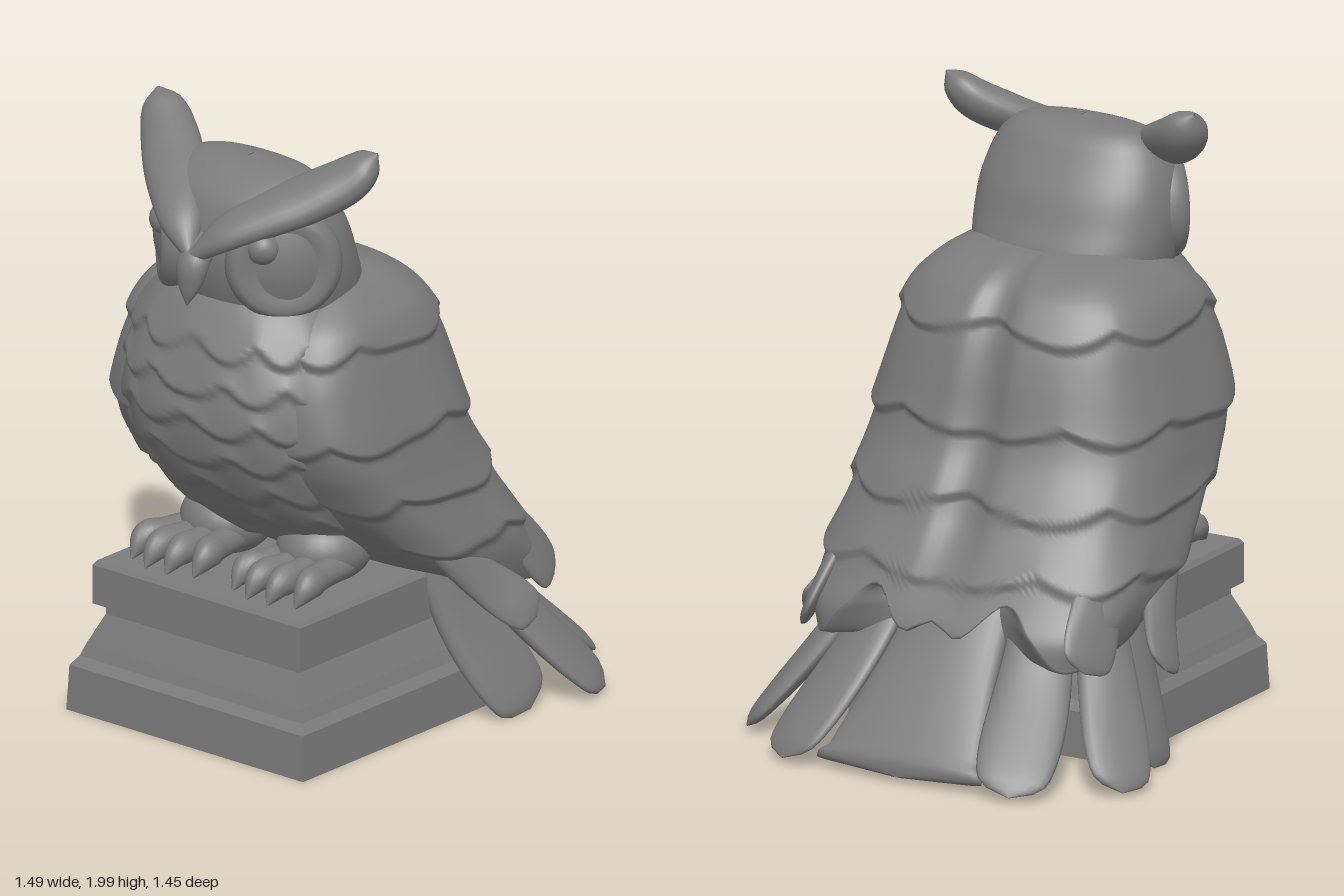
import * as THREE from 'three';
import { ParametricGeometry } from 'three/addons/geometries/ParametricGeometry.js';
import { mergeVertices } from 'three/addons/utils/BufferGeometryUtils.js';

const stone = 0x7b7b7b;
const mat = new THREE.MeshStandardMaterial({ color: stone, side: THREE.DoubleSide });
const flatMat = new THREE.MeshStandardMaterial({ color: stone, flatShading: true });
const V = (x, y, z) => new THREE.Vector3(x, y, z);

// Smooth lookup in a table of rows [key, a, b, ...], keys ascending
function look(table, k) {
  const n = table.length;
  k = Math.min(Math.max(k, table[0][0]), table[n - 1][0]);
  let i = 0;
  while (i < n - 2 && k > table[i + 1][0]) i++;
  const row = (j) => table[Math.min(Math.max(j, 0), n - 1)];
  const p = row(i), q = row(i + 1), o = row(i - 1), r = row(i + 2);
  const h = q[0] - p[0], t = (k - p[0]) / h;
  return p.slice(1).map((a, c) => {
    const b = q[c + 1];
    const ma = (b - o[c + 1]) / (q[0] - o[0]) * h, mb = (r[c + 1] - a) / (r[0] - p[0]) * h;
    const t2 = t * t, t3 = t2 * t;
    return a * (2 * t3 - 3 * t2 + 1) + b * (3 * t2 - 2 * t3) + ma * (t3 - 2 * t2 + t) + mb * (t3 - t2);
  });
}

// Smooth surface from a rule over u, v
function surface(fn, nu, nv) {
  const g = new ParametricGeometry(fn, nu, nv);
  g.deleteAttribute('normal');
  g.deleteAttribute('uv');
  const m = mergeVertices(g, 1e-4);
  m.computeVertexNormals();
  return m;
}

// Elliptic sweep along points; sizes rows are [t, halfWidth, halfThickness]
function sweep(points, sizes, up, nu = 20, nv = 32) {
  const curve = new THREE.CatmullRomCurve3(points);
  return surface((u, v, out) => {
    const T = curve.getTangent(v), S = T.clone().cross(up).normalize(), N = S.clone().cross(T);
    const [w, h] = look(sizes, v), a = -2 * Math.PI * u;
    out.copy(curve.getPoint(v)).addScaledVector(S, w * Math.cos(a)).addScaledVector(N, h * Math.sin(a));
  }, nu, nv);
}

// Superellipse section from front x, back x and half width
function section(out, a, y, [xf, xb, rz], p, d, shrink = 1) {
  const cx = (xf + xb) / 2, rx = (xb - xf) / 2, c = Math.cos(a), s = Math.sin(a);
  const bend = (f) => Math.sign(f) * Math.abs(f) ** p;
  out.set(cx + shrink * (rx * bend(c) + d * c), y, shrink * (rz * bend(s) + d * s));
}

// Overlapping scalloped feather rows: height grows to each lower edge, then falls away softly
function scales(a, y, top, edges, count, depth, height) {
  for (let i = 0; i < edges.length; i++) {
    const e = edges[i] - depth * Math.abs(Math.sin(count * a + i * Math.PI / 2));
    if (y > e) {
      const t = Math.min(Math.max((top - y) / (top - e), 0), 1);
      const fall = i ? 1 - (top - y) / .03 : 0;
      return height * Math.max(t ** 1.5, fall);
    }
    top = e;
  }
  return 0;
}

export function createModel() {
  const owl = new THREE.Group();
  const add = (name, geo, m = mat) => {
    const mesh = new THREE.Mesh(geo, m);
    mesh.name = name;
    owl.add(mesh);
    return mesh;
  };

  // Square moulded plinth
  const mould = [[0, 0], [.49, 0], [.483, .15], [.46, .18], [.445, .22], [.40, .32], [.40, .345], [.43, .355], [.43, .485], [.42, .5], [0, .5]];
  const base = new THREE.LatheGeometry(mould.map(([r, y]) => new THREE.Vector2(r * Math.SQRT2, y)), 4);
  base.rotateY(Math.PI / 4);
  base.scale(.96, 1, 1);
  base.translate(-.265, 0, 0);
  add('plinth', base, flatMat);

  // Breast and belly
  const bodyRows = [[.5, -.15, .2, .22], [.6, -.35, .2, .33], [.7, -.48, .2, .38], [.8, -.58, .2, .41], [.95, -.68, .15, .43],
    [1.1, -.725, .1, .44], [1.25, -.715, .05, .42], [1.4, -.665, 0, .37], [1.5, -.6, -.05, .3], [1.56, -.5, -.2, .25]];
  const breastEdges = Array.from({ length: 7 }, (_, i) => 1.38 - i * .125);
  add('body', surface((u, v, out) => {
    const a = 2 * Math.PI * u, y = 1.56 - 1.06 * v;
    section(out, a, y, look(bodyRows, y), .8, scales(a - Math.PI, y, 1.5, breastEdges, 6, .06, .02));
  }, 110, 120));

  // Folded wings, broad in front and meeting at a groove down the back
  const wingRows = [[.34, .1, .52, .48], [.45, -.02, .515, .53], [.55, -.19, .455, .555], [.65, -.31, .4, .55], [.75, -.42, .345, .54], [.85, -.51, .3, .53],
    [.95, -.585, .25, .525], [1.05, -.625, .22, .515], [1.2, -.63, .19, .485], [1.3, -.605, .16, .46], [1.4, -.555, .11, .425],
    [1.46, -.49, .06, .375], [1.51, -.4, -.03, .31], [1.54, -.3, -.15, .22]];
  const wingHem = [[0, .47], [.1, .43], [.3, .54], [.55, .46], [.9, .36], [1.3, .36], [1.8, .41], [2.4, .45], [3.15, .46]];
  add('wings', surface((u, v, out) => {
    const a = 2 * Math.PI * u, side = Math.min(a, 2 * Math.PI - a), hem = look(wingHem, side)[0];
    const k = Math.max(0, (v - .95) / .05), y = 1.54 - (1.54 - hem) * Math.min(1, v / .95);
    const groove = -.045 * Math.exp(-((side / .06) ** 2)) * Math.min(1, Math.max(0, (y - .5) / .25));
    const d = scales(side, y, 1.6, [1.37, 1.07, .84, .64, .3], 3.4, .05, .022) + groove;
    section(out, a, y + .04 * k, look(wingRows, y), side < Math.PI / 2 ? .72 : .5, d, 1 - k);
  }, 160, 150));

  // Head
  const headRows = [[1.38, -.58, -.1, .31], [1.5, -.63, -.105, .335], [1.6, -.65, -.145, .345], [1.7, -.64, -.185, .335],
    [1.8, -.6, -.245, .3], [1.86, -.54, -.29, .25], [1.89, -.48, -.34, .17], [1.9, -.43, -.4, .002]];
  add('head', surface((u, v, out) => {
    const y = 1.38 + .52 * Math.sin((1 - v) * Math.PI / 2);
    section(out, 2 * Math.PI * u, y, look(headRows, y), .88, 0);
  }, 48, 40));

  // Hooked beak
  add('beak', sweep([V(-.62, 1.67, 0), V(-.69, 1.62, 0), V(-.71, 1.55, 0), V(-.725, 1.48, 0)],
    [[0, .04, .04], [.4, .055, .045], [.75, .035, .028], [1, .002, .002]], V(-1, 0, 0)));

  // Central tail feather with a square end
  add('tailCentre', sweep([V(.18, .66, 0), V(.38, .4, 0), V(.56, .2, 0), V(.725, .02, 0)],
    [[0, .16, .06], [.4, .2, .06], [.9, .275, .045], [.98, .28, .03], [1, .01, .005]], V(.8, .6, 0), 28));

  const blade = (w, h) => [[0, w * .55, h], [.35, w * .8, h], [.7, w, h * .8], [.88, w * .95, h * .6], [.96, w * .7, h * .4], [1, .002, .002]];
  for (const s of [1, -1]) {
    const side = s > 0 ? 'left' : 'right';
    const P = (x, y, z) => V(x, y, s * z);

    // Facial disc with a soft rim, and eye
    const n = P(-.7, 0, .71).normalize();
    const dish = [[.14, -.14], [.18, -.04], [.185, .02], [.165, .055], [.135, .062], [.08, .052], [0, .05]];
    const disc = add(side + 'FaceDisc', new THREE.LatheGeometry(
      new THREE.SplineCurve(dish.map((p) => new THREE.Vector2(...p))).getPoints(24), 40));
    disc.position.copy(P(-.515, 1.62, .22));
    disc.quaternion.setFromUnitVectors(V(0, 1, 0), n);
    const eye = add(side + 'Eye', new THREE.SphereGeometry(.055, 24, 16));
    eye.position.copy(P(-.59, 1.685, .2));

    // Brow rising into an ear tuft
    add(side + 'EarTuft', sweep([P(-.7, 1.64, .01), P(-.645, 1.72, .09), P(-.55, 1.785, .19), P(-.455, 1.84, .29), P(-.375, 1.905, .385), P(-.335, 1.99, .455)],
      [[0, .02, .025], [.2, .07, .045], [.5, .1, .06], [.75, .09, .065], [.92, .06, .045], [1, .003, .003]], P(-.35, .9, .1), 24, 36));

    // Long wing and tail feathers
    const feathers = [
      ['WingTipFront', [-.16, .68, .47], [.05, .47, .56], [.19, .335, .665], .085, .035, [-.2, .5, .8]],
      ['WingTipRear', [.14, .76, .42], [.3, .55, .48], [.44, .365, .52], .1, .035, [.35, .3, .85]],
      ['TailOuter', [-.02, .6, .38], [.07, .32, .47], [.2, .01, .63], .13, .05, [-.1, .3, .9]],
      ['TailSide', [.08, .6, .34], [.27, .31, .5], [.49, .015, .69], .115, .05, [.4, .5, .75]],
      ['TailRear', [.18, .62, .22], [.41, .32, .32], [.735, .02, .415], .13, .045, [.7, .6, .35]],
    ];
    for (const [name, a, b, c, w, h, up] of feathers)
      add(side + name, sweep([P(...a), P(...b), P(...c)], blade(w, h), P(...up)));

    // Feathered leg and clawed toes
    const leg = add(side + 'Leg', new THREE.SphereGeometry(1, 28, 18));
    leg.scale.set(.16, .12, .15);
    leg.position.copy(P(-.29, .6, .2));
    for (let i = -1.5; i <= 1.5; i++) {
      const z = .21 + i * .055, f = .21 + i * .085, r = .05 * Math.abs(i) / 1.5;
      add(side + 'Toe', sweep([P(-.3, .56, z), P(-.47, .565, (z + f) / 2), P(-.585 + r, .56, f), P(-.65 + r, .505, f)],
        [[0, .045, .045], [.3, .05, .045], [.6, .046, .05], [.8, .03, .035], [1, .003, .003]], V(0, 1, 0), 16, 20));
    }
  }
  return owl;
}
